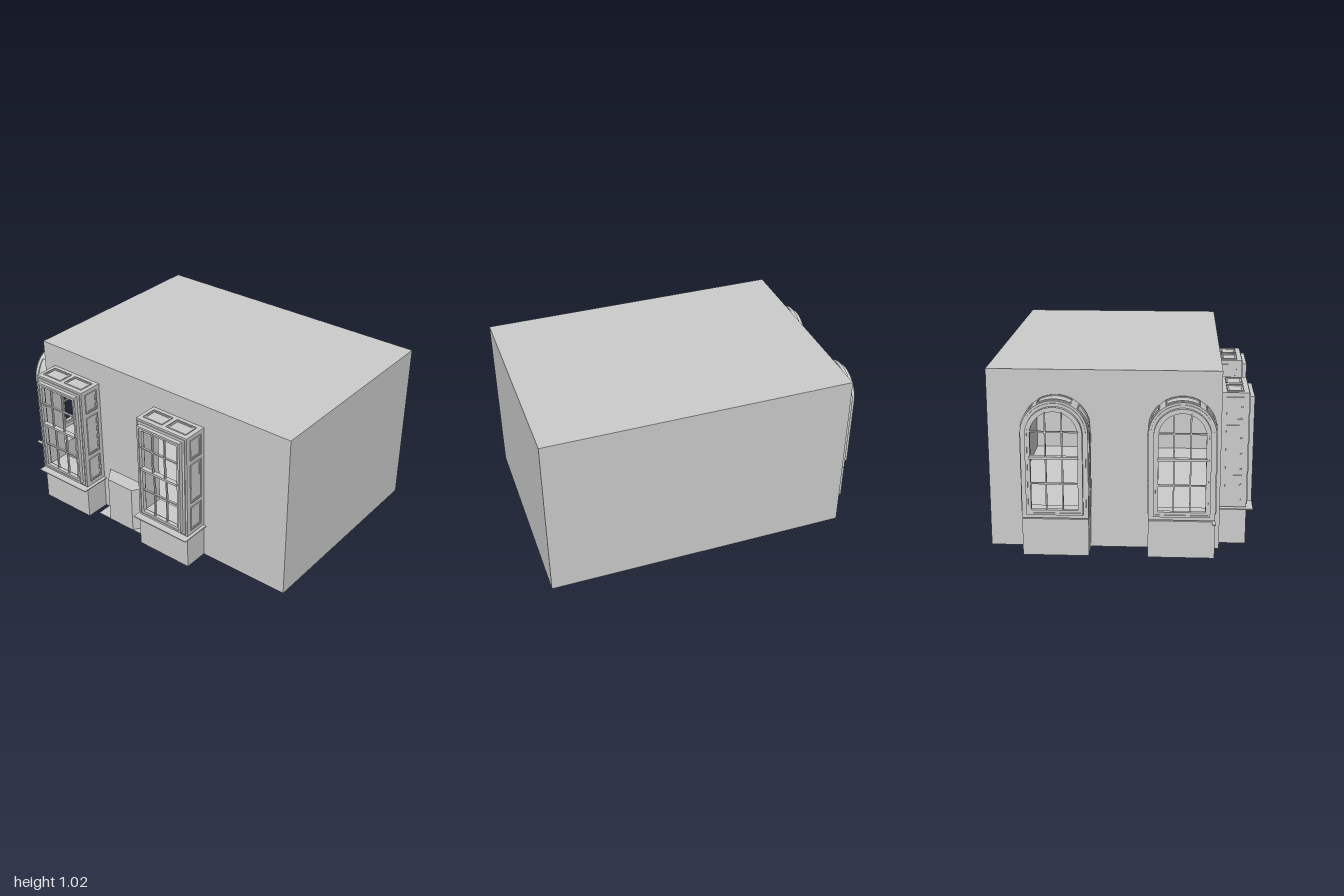
import * as THREE from 'three';

const mat = new THREE.MeshStandardMaterial({ color: 0xcccccc, side: THREE.DoubleSide, flatShading: true });
const W = 0.183, Y0 = 0.22, Y1 = 0.885; // outer bay half width, bottom and top

function add(parent, name, geo, x = 0, y = 0, z = 0) {
  const m = new THREE.Mesh(geo, mat);
  m.name = name;
  m.position.set(x, y, z);
  parent.add(m);
  return m;
}

// Box given by its limits
function box(parent, name, x0, x1, y0, y1, z0, z1) {
  return add(parent, name, new THREE.BoxGeometry(x1 - x0, y1 - y0, z1 - z0),
    (x0 + x1) / 2, (y0 + y1) / 2, (z0 + z1) / 2);
}

const extrude = (shape, depth) =>
  new THREE.ExtrudeGeometry(shape, { depth, bevelEnabled: false, curveSegments: 24 });

function rect(path, x0, x1, y0, y1) {
  path.moveTo(x0, y0);
  path.lineTo(x1, y0);
  path.lineTo(x1, y1);
  path.lineTo(x0, y1);
  path.closePath();
  return path;
}

// Bay outline, moved inwards by inset, with a straight or round top
function outline(path, inset, arched, cx = 0) {
  const w = W - inset, y0 = Y0 + inset;
  if (!arched) return rect(path, cx - w, cx + w, y0, Y1 - inset);
  path.moveTo(cx - w, y0);
  path.lineTo(cx + w, y0);
  path.lineTo(cx + w, Y1 - W);
  path.absarc(cx, Y1 - W, w, 0, Math.PI, false);
  path.closePath();
  return path;
}

// Ring between two insets of the outline, from z0 to z1
function ring(parent, name, outer, inner, z0, z1, arched) {
  const s = outline(new THREE.Shape(), outer, arched);
  s.holes.push(outline(new THREE.Path(), inner, arched));
  add(parent, name, extrude(s, z1 - z0), 0, 0, z0);
}

// Raised rectangular moulding with a stepped inner edge
function moulding(parent, w, h) {
  const g = new THREE.Group();
  g.name = 'panelMoulding';
  for (const [inset, t, d] of [[0, 0.006, 0.006], [0.006, 0.008, 0.003]]) {
    const a = w / 2 - inset, b = h / 2 - inset;
    const s = rect(new THREE.Shape(), -a, a, -b, b);
    s.holes.push(rect(new THREE.Path(), -a + t, a - t, -b + t, b - t));
    add(g, 'mouldingStep', extrude(s, d));
  }
  parent.add(g);
  return g;
}

// Curved strip lying on the arch, angles in degrees
function arcStrip(parent, a0, a1, z0, z1) {
  const s = new THREE.Shape(), r = W + 0.006;
  const f = a0 * Math.PI / 180, t = a1 * Math.PI / 180;
  s.absarc(0, 0, r, f, t, false);
  s.absarc(0, 0, W, t, f, true);
  s.closePath();
  add(parent, 'archMoulding', extrude(s, z1 - z0), 0, Y1 - W, z0);
}

// Projecting window: local z points away from the wall
function bayWindow(name, d, arched) {
  const g = new THREE.Group();
  g.name = name;
  box(g, 'base', -W, W, 0, Y0 - 0.006, 0, d);
  ring(g, 'baySurround', 0, 0.02, -0.01, d, arched);
  ring(g, 'frontSurround', 0.012, 0.045, d - 0.012, d + 0.006, arched);
  ring(g, 'outerFrame', 0.028, 0.04, d, d + 0.03, arched);
  ring(g, 'sashFrame', 0.038, 0.055, d, d + 0.024, arched);

  // Side panels
  const rows = [[0.25, 0.41], [0.44, 0.7]];
  if (!arched) rows.push([0.73, 0.86]);
  for (const s of [-1, 1]) for (const [a, b] of rows) {
    const m = moulding(g, 0.095, b - a);
    m.position.set(s * W, (a + b) / 2, d / 2);
    m.rotation.y = s * Math.PI / 2;
  }

  // Top panels
  const z0 = d / 2 - 0.047, z1 = d / 2 + 0.047;
  if (arched) {
    for (const [a, b] of [[10, 47], [60, 120], [133, 170]]) {
      arcStrip(g, a, b, z0, z0 + 0.007);
      arcStrip(g, a, b, z1 - 0.007, z1);
      arcStrip(g, a, a + 2, z0, z1);
      arcStrip(g, b - 2, b, z0, z1);
    }
  } else {
    for (const s of [-1, 1]) {
      const m = moulding(g, 0.14, 0.095);
      m.position.set(s * 0.085, Y1, d / 2);
      m.rotation.x = -Math.PI / 2;
    }
    box(g, 'sill', -0.198, 0.198, 0.208, 0.214, 0, 0.19);
  }

  // Glazing bars: the upper sash sits in front of the lower one
  const r = W - 0.05, top = Y1 - W;
  for (const x of [-0.045, 0.045]) {
    const yTop = arched ? top + Math.sqrt(r * r - x * x) : Y1 - 0.05;
    box(g, 'lowerBar', x - 0.004, x + 0.004, Y0 + 0.05, 0.575, d + 0.006, d + 0.018);
    box(g, 'upperBar', x - 0.004, x + 0.004, 0.575, yTop, d + 0.018, d + 0.03);
  }
  box(g, 'lowerCrossBar', -r, r, 0.421, 0.429, d + 0.006, d + 0.018);
  box(g, 'meetingRail', -r, r, 0.568, 0.582, d + 0.006, d + 0.034);
  box(g, 'upperCrossBar', -r, r, 0.716, 0.724, d + 0.018, d + 0.03);
  return g;
}

// Thin wall with bay openings at the given centres
function wall(parent, name, x0, x1, centres, arched) {
  const s = rect(new THREE.Shape(), x0, x1, 0.01, 1.015);
  for (const c of centres) s.holes.push(outline(new THREE.Path(), 0.02, arched, c));
  return add(parent, name, extrude(s, 0.01));
}

export function createModel() {
  const model = new THREE.Group();
  model.name = 'roomWithBayWindows';

  // Hollow room
  box(model, 'floor', -0.82, 1, 0, 0.01, -0.74, 0.545);
  box(model, 'roof', -0.82, 1, 1.015, 1.025, -0.74, 0.545);
  box(model, 'backWall', -0.81, 1, 0.01, 1.015, -0.74, -0.73);
  box(model, 'leftWall', 0.99, 1, 0.01, 1.015, -0.73, 0.535);
  const frontCentres = [-0.55, 0.245], sideCentres = [-0.357, 0.333];
  wall(model, 'frontWall', -0.81, 1, frontCentres, false).position.z = 0.535;
  const side = wall(model, 'rightWall', -0.74, 0.545, sideCentres, true);
  side.rotation.y = -Math.PI / 2;
  side.position.x = -0.81;

  // Square bays at the front, arched bays on the side
  for (const x of frontCentres) {
    const b = bayWindow('frontBay', 0.152, false);
    b.position.set(x, 0, 0.545);
    model.add(b);
  }
  for (const z of sideCentres) {
    const b = bayWindow('archedBay', 0.135, true);
    b.position.set(-0.82, 0, z);
    b.rotation.y = -Math.PI / 2;
    model.add(b);
  }
  box(model, 'sillEnd', -1, -0.955, 0.21, 0.214, 0.5, 0.52);

  // Framed panels on the inside of the back wall
  for (const x of [-0.53, 0.26]) moulding(model, 0.09, 0.12).position.set(x, 0.64, -0.73);

  // Splayed block between the front bays, on a thin ground plate
  const s = new THREE.Shape();
  s.moveTo(-0.31, -0.545);
  s.lineTo(-0.245, -0.637);
  s.lineTo(-0.057, -0.637);
  s.lineTo(0.005, -0.545);
  s.closePath();
  add(model, 'splayedBlock', extrude(s, 0.297)).rotation.x = -Math.PI / 2;
  box(model, 'groundPlate', -0.34, 0.045, 0, 0.003, 0.545, 0.637);
  return model;
}
